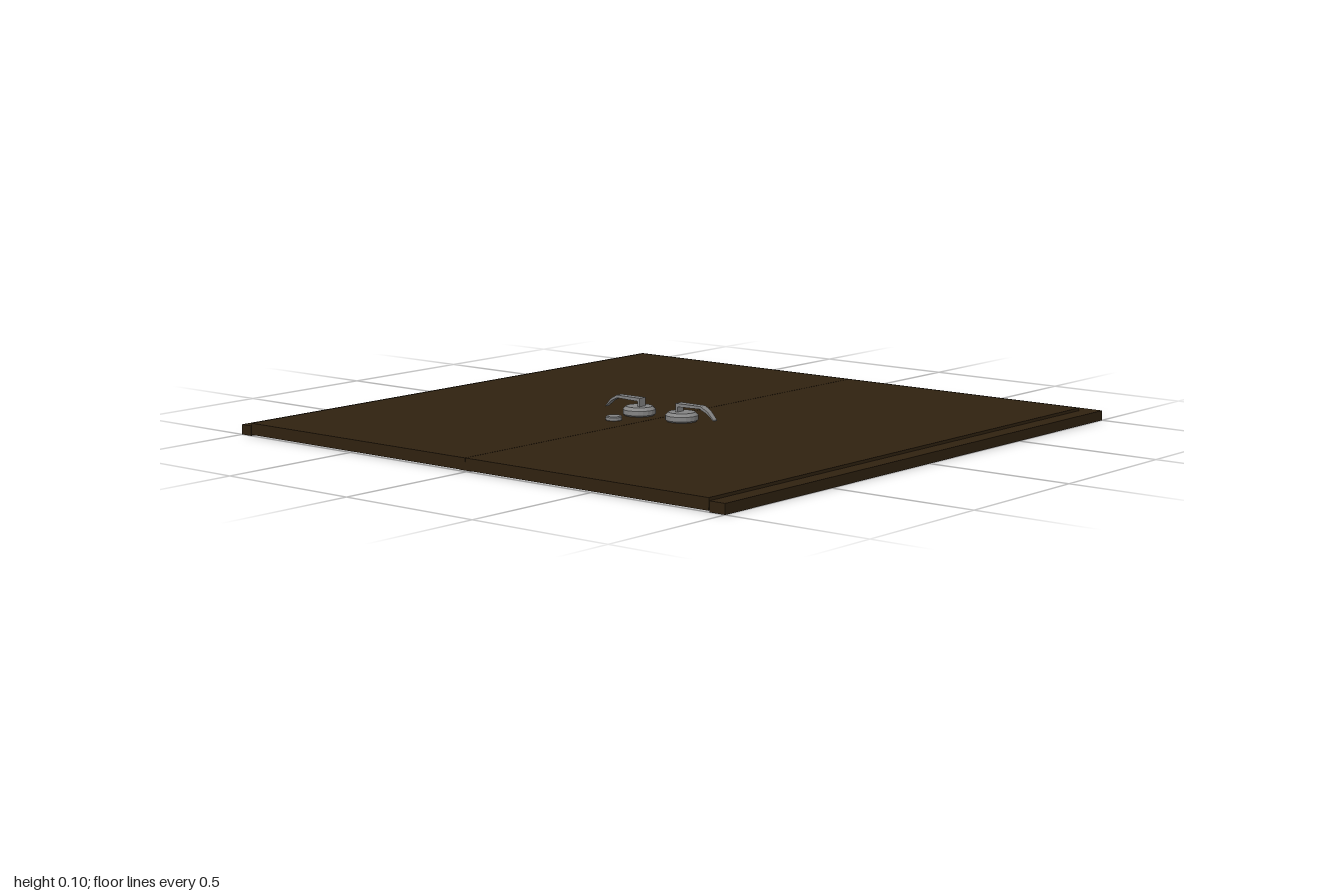
import * as THREE from 'three';

const wood = new THREE.MeshStandardMaterial({ color: 0x302210 });
wood.name = 'dark wood';
const metal = new THREE.MeshStandardMaterial({ color: 0x858585 });
metal.name = 'grey metal';

const MID = -0.005;   // seam between the two leaves
const TOP = 0.042;    // face of the leaves

// Box given by its limits on each axis
function slab(name, [x0, x1], [y0, y1], [z0, z1]) {
  const mesh = new THREE.Mesh(new THREE.BoxGeometry(x1 - x0, y1 - y0, z1 - z0), wood);
  mesh.position.set((x0 + x1) / 2, (y0 + y1) / 2, (z0 + z1) / 2);
  mesh.name = name;
  return mesh;
}

// Round plate with a bevelled rim
function disc(name, radius, height, bevel) {
  const profile = [[0, 0], [radius - bevel / 2, 0], [radius, bevel / 2], [radius, height - bevel],
    [radius - bevel, height], [0, height]].map(p => new THREE.Vector2(...p));
  const geometry = new THREE.LatheGeometry(profile, 20).toNonIndexed();
  geometry.computeVertexNormals();
  const mesh = new THREE.Mesh(geometry, metal);
  mesh.name = name;
  return mesh;
}

// Bent lever: side outline extruded across, then narrowed toward its tip
function lever() {
  const outline = new THREE.Shape([[-0.014, 0.02], [-0.006, 0.02], [-0.006, 0.047], [0.085, 0.049],
    [0.112, 0.036], [0.139, 0.014], [0.139, 0.018], [0.115, 0.043], [0.088, 0.058], [-0.014, 0.058]]
    .map(p => new THREE.Vector2(...p)));
  const geometry = new THREE.ExtrudeGeometry(outline, { depth: 0.03, bevelEnabled: false });
  geometry.translate(0, 0, -0.015);
  const p = geometry.attributes.position;
  for (let i = 0; i < p.count; i++) {
    const t = THREE.MathUtils.clamp((p.getX(i) - 0.06) / 0.08, 0, 1);
    p.setZ(i, p.getZ(i) * (1 - 0.4 * t));
  }
  geometry.rotateY(-Math.PI / 2);
  geometry.computeVertexNormals();
  const mesh = new THREE.Mesh(geometry, metal);
  mesh.name = 'lever';
  return mesh;
}

export function createModel() {
  const model = new THREE.Group();
  model.name = 'doubleDoor';

  // Frame around three sides, open at the threshold
  model.add(slab('frameHead', [0.953, 1], [0, 0.033], [-1, 1]));
  model.add(slab('frameBackJamb', [-1, 0.953], [0, 0.033], [-1, -0.957]));
  model.add(slab('frameFrontJamb', [-1, 0.953], [0, 0.033], [0.943, 1]));

  // Two leaves with a rebate strip closing the seam
  model.add(slab('backLeaf', [-1, 0.95], [0.004, TOP], [-0.955, MID - 0.001]));
  model.add(slab('frontLeaf', [-1, 0.95], [0.004, TOP], [MID + 0.001, 0.941]));
  model.add(slab('seamStrip', [-0.999, 0.949], [0.003, 0.03], [MID - 0.02, MID + 0.02]));

  // A handle on each leaf, turned away from the seam
  for (const side of [1, -1]) {
    const handle = new THREE.Group();
    handle.name = side > 0 ? 'frontHandle' : 'backHandle';
    handle.add(disc('rose', 0.054, 0.03, 0.01), lever());
    handle.position.set(-0.083, TOP, MID + side * 0.09);
    if (side < 0) handle.rotation.y = Math.PI;
    model.add(handle);
  }

  // Small lock cylinder on the back leaf
  const lock = disc('lock', 0.027, 0.014, 0.003);
  lock.position.set(-0.21, TOP, MID - 0.09);
  model.add(lock);

  return model;
}
